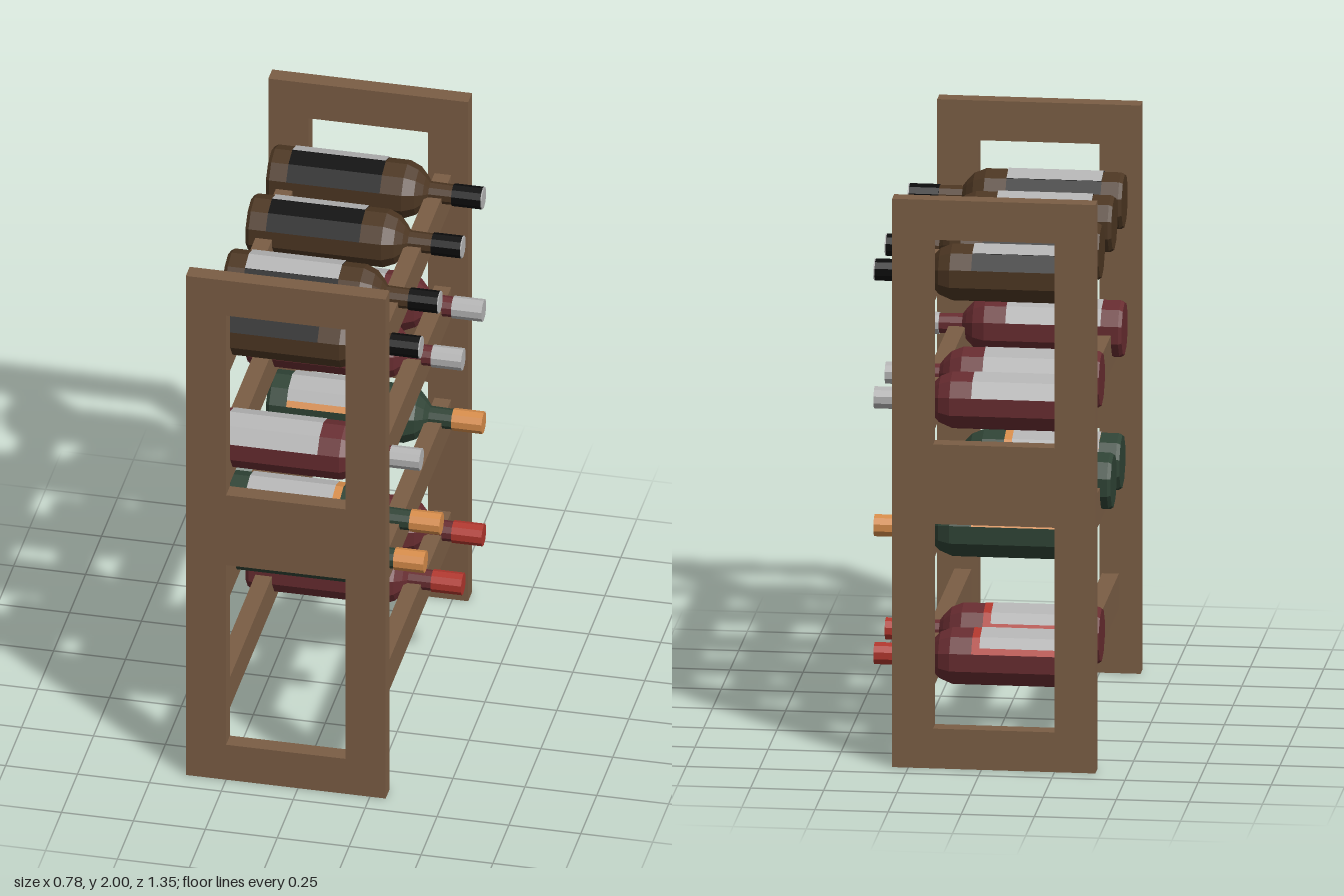
import * as THREE from 'three';

const mat = (name, color, extra = {}) => {
  const m = new THREE.MeshStandardMaterial({ color, flatShading: true, ...extra });
  m.name = name;
  return m;
};

const SIDES = 10;
const STEP = Math.PI * 2 / SIDES;
const DEG = Math.PI / 180;

// Solid of revolution lying along x, with one corner of its polygon at the top
function turned(profile) {
  const pts = profile.map(([r, x]) => new THREE.Vector2(r, x));
  return new THREE.LatheGeometry(pts, SIDES, -Math.PI / 2).rotateZ(-Math.PI / 2);
}

// Faceted label strip wrapped on the bottle; angles in degrees from the top toward +z
function labelStrip(angles, x0, x1, radius) {
  const pos = [], index = [];
  angles.forEach((deg, i) => {
    const a = deg * DEG;
    const local = ((a % STEP) + STEP) % STEP - STEP / 2;
    const r = radius * Math.cos(STEP / 2) / Math.cos(local);
    const y = r * Math.cos(a), z = r * Math.sin(a);
    pos.push(x0, y, z, x1, y, z);
    if (i) {
      const k = i * 2;
      index.push(k - 2, k, k + 1, k - 2, k + 1, k - 1);
    }
  });
  const g = new THREE.BufferGeometry();
  g.setAttribute('position', new THREE.Float32BufferAttribute(pos, 3));
  g.setIndex(index);
  g.computeVertexNormals();
  return g;
}

export function createModel() {
  const model = new THREE.Group();
  model.name = 'bottleRack';

  const wood = mat('wood', 0x7b5e45);
  const brown = mat('brownGlass', 0x4c3622);
  const wine = mat('redGlass', 0x672c30);
  const green = mat('greenGlass', 0x2f4335);
  const double = { side: THREE.DoubleSide };
  const pale = mat('paleGrey', 0xb4b4b4, double);
  const black = mat('black', 0x0b0b0b, double);
  const orange = mat('orange', 0xd68c4a, double);
  const red = mat('red', 0xb0362d, double);

  const add = (parent, name, geometry, material) => {
    const mesh = new THREE.Mesh(geometry, material);
    mesh.name = name;
    parent.add(mesh);
    return mesh;
  };

  // Side panels with two openings each
  const rect = (S, x0, y0, x1, y1) => {
    const s = new S();
    s.moveTo(x0, y0);
    s.lineTo(x1, y0);
    s.lineTo(x1, y1);
    s.lineTo(x0, y1);
    s.closePath();
    return s;
  };
  const outline = rect(THREE.Shape, -0.39, 0, 0.305, 2);
  for (const y of [0.14, 1.14]) outline.holes.push(rect(THREE.Path, -0.25, y, 0.165, y + 0.72));
  const panelGeo = new THREE.ExtrudeGeometry(outline, { depth: 0.06, bevelEnabled: false });
  add(model, 'frontPanel', panelGeo, wood).position.z = 0.615;
  add(model, 'backPanel', panelGeo, wood).position.z = -0.675;

  // Bottle body, neck and cap
  const glassGeo = turned([
    [0, -0.352], [0.092, -0.352], [0.1, -0.34], [0.1, 0.12], [0.083, 0.16],
    [0.057, 0.185], [0.037, 0.2], [0.035, 0.285], [0, 0.285],
  ]);
  const capGeo = turned([[0, 0.28], [0.039, 0.28], [0.039, 0.382], [0, 0.382]]);
  const capEndGeo = turned([[0.039, 0.382], [0.039, 0.386], [0, 0.386]]);

  // Label faces: full wrap, two-face panel, one-face panel, bordered panel
  const X0 = -0.28, X1 = 0.045;
  const wrapGeo = labelStrip([-72, -36, 0, 36, 72], X0, X1, 0.102);
  const centreGeo = labelStrip([-36, 0, 36], X0, X1, 0.104);
  const rolledGeo = labelStrip([-36, 0], X0, X1, 0.104);
  const borderedGeo = labelStrip([-59, -36, 0, 36, 59], X0, 0.018, 0.104);

  const shelves = [
    { y: 0.35, glass: wine, cap: red, end: red, wrap: red, zs: [-0.495, -0.175], panel: () => borderedGeo },
    { y: 0.8, glass: green, cap: orange, end: orange, wrap: orange, zs: [-0.495, 0.165, 0.415], panel: () => borderedGeo },
    { y: 1.25, glass: wine, cap: pale, end: pale, wrap: pale, zs: [-0.495, -0.175, 0.48] },
    { y: 1.7, glass: brown, cap: black, end: pale, wrap: black, zs: [-0.495, -0.175, 0.185, 0.48],
      panel: z => (z < 0 ? rolledGeo : centreGeo) },
  ];

  const railGeo = new THREE.BoxGeometry(0.058, 0.122, 1.23);
  for (const { y, glass, cap, end, wrap, zs, panel } of shelves) {
    // Pair of rails under the row
    add(model, 'neckRail', railGeo, wood).position.set(0.217, y - 0.061, 0);
    add(model, 'baseRail', railGeo, wood).position.set(-0.287, y - 0.061, 0);

    // Bottles of the row
    for (const z of zs) {
      const bottle = new THREE.Group();
      bottle.name = 'bottle';
      bottle.position.set(0, y, z);
      add(bottle, 'glass', glassGeo, glass);
      add(bottle, 'cap', capGeo, cap);
      add(bottle, 'capEnd', capEndGeo, end);
      add(bottle, 'label', wrapGeo, wrap);
      if (panel) add(bottle, 'labelPanel', panel(z), pale);
      model.add(bottle);
    }
  }
  return model;
}
